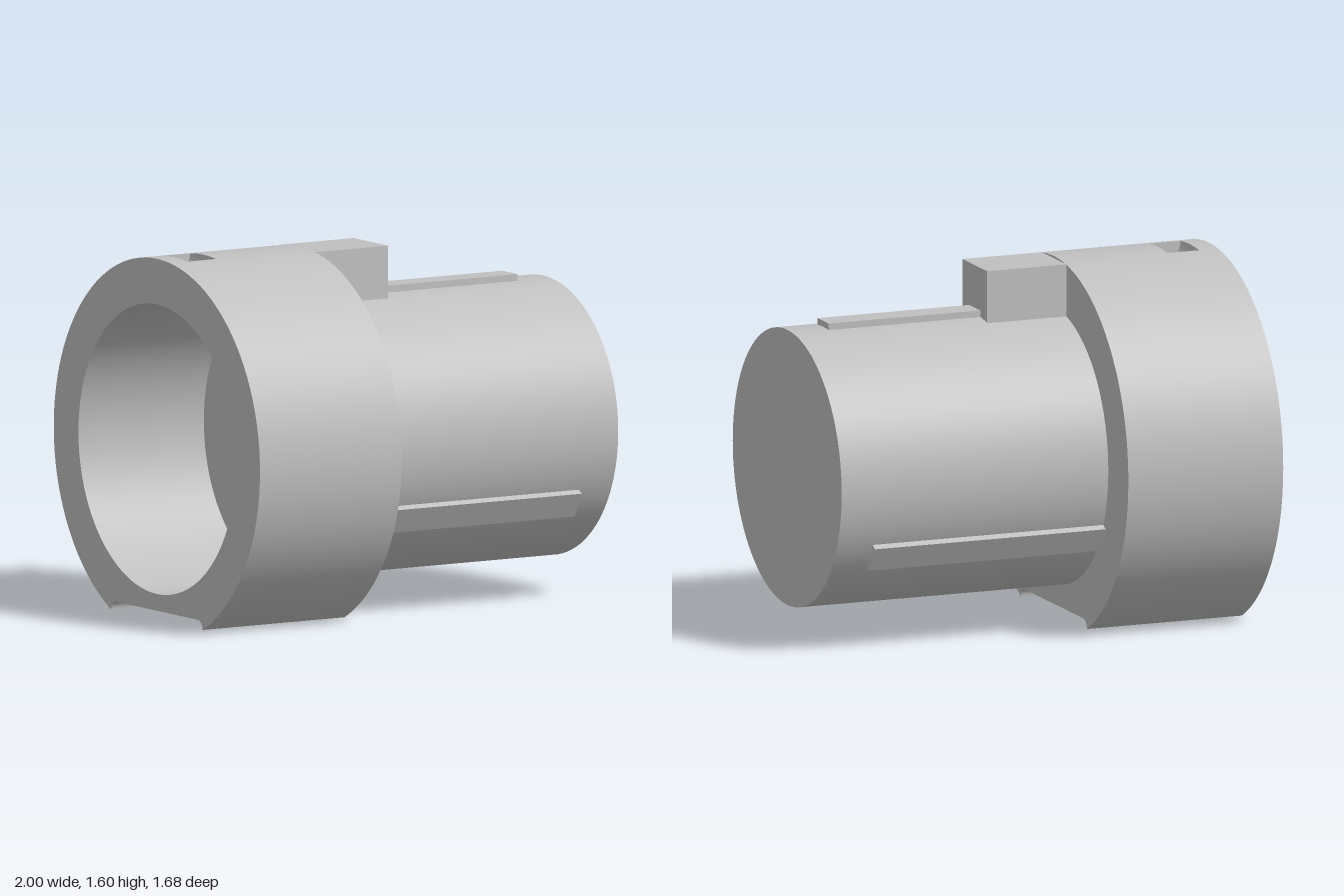
import * as THREE from 'three';

// Main dimensions (the axis of the part runs along x)
const C = 0.754, R = 0.841;           // axis height, collar radius
const SHAFT_R = 0.615, BORE_R = 0.64;
const X0 = -1, X1 = -0.265, X2 = 1;   // collar back, shoulder, shaft end
const BORE_END = -0.35;
const PX0 = -0.91, PX1 = -0.76, PZ = 0.105; // pocket limits

// Points of an arc
function arc(cx, cy, r, a0, a1, n) {
  return Array.from({ length: n + 1 }, (_, i) => {
    const a = a0 + (a1 - a0) * i / n;
    return new THREE.Vector2(cx + r * Math.cos(a), cy + r * Math.sin(a));
  });
}

// Smooth strip: an open profile swept along local z from d0 to d1
function strip(points, d0, d1) {
  const pos = [], index = [];
  points.forEach((p, i) => {
    pos.push(p.x, p.y, d0, p.x, p.y, d1);
    if (i < points.length - 1) {
      const k = i * 2;
      index.push(k, k + 2, k + 3, k, k + 3, k + 1);
    }
  });
  const g = new THREE.BufferGeometry();
  g.setAttribute('position', new THREE.Float32BufferAttribute(pos, 3));
  g.setIndex(index);
  g.computeVertexNormals();
  return g;
}

// Profile in the zy plane swept from xa to xb
const sweep = (points, xa, xb) => strip(points, -xb, -xa).rotateY(-Math.PI / 2);

// Flat face across the axis, looking along +x (dir 1) or -x (dir -1)
const face = (shape, x, dir) =>
  new THREE.ShapeGeometry(shape, 64).rotateY(dir * Math.PI / 2).translate(x, 0, 0);

export function createModel() {
  const model = new THREE.Group();
  model.name = 'keyedPlug';
  const grey = new THREE.MeshStandardMaterial({ color: 0xc0c0c0 });
  grey.name = 'grey';

  const add = (parent, name, geometry) => {
    const mesh = new THREE.Mesh(geometry, grey);
    mesh.name = name;
    parent.add(mesh);
    return mesh;
  };

  // Collar profile: round body, flat foot and a fillet at each foot tip
  const tip = Math.sqrt(R * R - C * C);
  const a0 = Math.atan2(-C, tip);
  const delta = Math.asin(PZ / R), top = Math.PI / 2;
  const rightSide = arc(0, C, R, a0, top - delta, 72);
  const crown = arc(0, C, R, top - delta, top + delta, 12);
  const leftSide = arc(0, C, R, top + delta, Math.PI - a0, 72);
  const fl = 0.04;
  const leftFillet = arc(-tip + fl, 0, fl, Math.PI, Math.PI / 2, 8);
  const rightFillet = arc(tip - fl, 0, fl, Math.PI / 2, 0, 8);
  const foot = [leftFillet[8], rightFillet[0]];

  const collar = new THREE.Group();
  collar.name = 'collar';
  model.add(collar);
  add(collar, 'collarSideLeft', sweep(rightSide, X0, X1));
  add(collar, 'collarSideRight', sweep(leftSide, X0, X1));
  add(collar, 'crownBack', sweep(crown, X0, PX0));
  add(collar, 'crownFront', sweep(crown, PX1, X1));
  add(collar, 'footFilletRight', sweep(leftFillet, X0, X1));
  add(collar, 'footFilletLeft', sweep(rightFillet, X0, X1));
  add(collar, 'footFlat', sweep(foot, X0, X1));

  // Collar end faces, each with a round opening
  const outline = [...rightSide, ...crown.slice(1), ...leftSide.slice(1),
    ...leftFillet.slice(1), ...rightFillet.slice(0, -1)];
  for (const [name, x, r, dir] of [['collarBackFace', X0, BORE_R, -1], ['shoulderFace', X1, SHAFT_R, 1]]) {
    const shape = new THREE.Shape(outline);
    shape.holes.push(new THREE.Path(arc(0, C, r, 0, -Math.PI * 2, 96).slice(0, -1)));
    add(collar, name, face(shape, x, dir));
  }

  // Blind bore; the profile runs clockwise so its wall faces inward
  add(collar, 'boreWall', sweep(arc(0, C, BORE_R, Math.PI * 2, 0, 96), X0, BORE_END));
  add(collar, 'boreFloor', new THREE.CircleGeometry(BORE_R, 96)
    .rotateY(-Math.PI / 2).translate(BORE_END, C, 0));

  // Round-bottomed pocket in the crown
  const pocket = new THREE.Group();
  pocket.name = 'pocket';
  collar.add(pocket);
  const px = (PX0 + PX1) / 2, pr = (PX1 - PX0) / 2, py = crown[0].y;
  add(pocket, 'pocketFloor', strip(arc(px, py, pr, 0, -Math.PI, 20), -PZ, PZ));
  for (const side of [1, -1]) {
    const end = new THREE.CircleGeometry(pr, 20, Math.PI, Math.PI);
    if (side > 0) end.rotateY(Math.PI);
    add(pocket, 'pocketEnd', end.translate(px, py, side * PZ));
    add(pocket, 'pocketLip', face(new THREE.Shape(crown), side > 0 ? PX0 : PX1, side));
  }

  // Shaft
  add(model, 'shaft', new THREE.CylinderGeometry(SHAFT_R, SHAFT_R, X2 - X1, 96, 1, true)
    .rotateZ(-Math.PI / 2).translate((X1 + X2) / 2, C, 0));
  add(model, 'shaftEnd', new THREE.CircleGeometry(SHAFT_R, 96)
    .rotateY(Math.PI / 2).translate(X2, C, 0));

  // Key block on top, against the shoulder
  add(model, 'keyBlock', new THREE.BoxGeometry(0.375, 0.235, 0.28)
    .translate(X1 + 0.1875, 1.4675, 0));

  // Three ribs spaced evenly round the shaft; the top one starts at the block
  for (let i = 0; i < 3; i++) {
    const start = i === 0 ? 0.11 : X1, end = 0.83;
    const rib = add(model, 'rib', new THREE.BoxGeometry(end - start, 0.035, 0.125)
      .translate((start + end) / 2, 0.6235, 0));
    rib.position.y = C;
    rib.rotation.x = i * Math.PI * 2 / 3;
  }
  return model;
}
